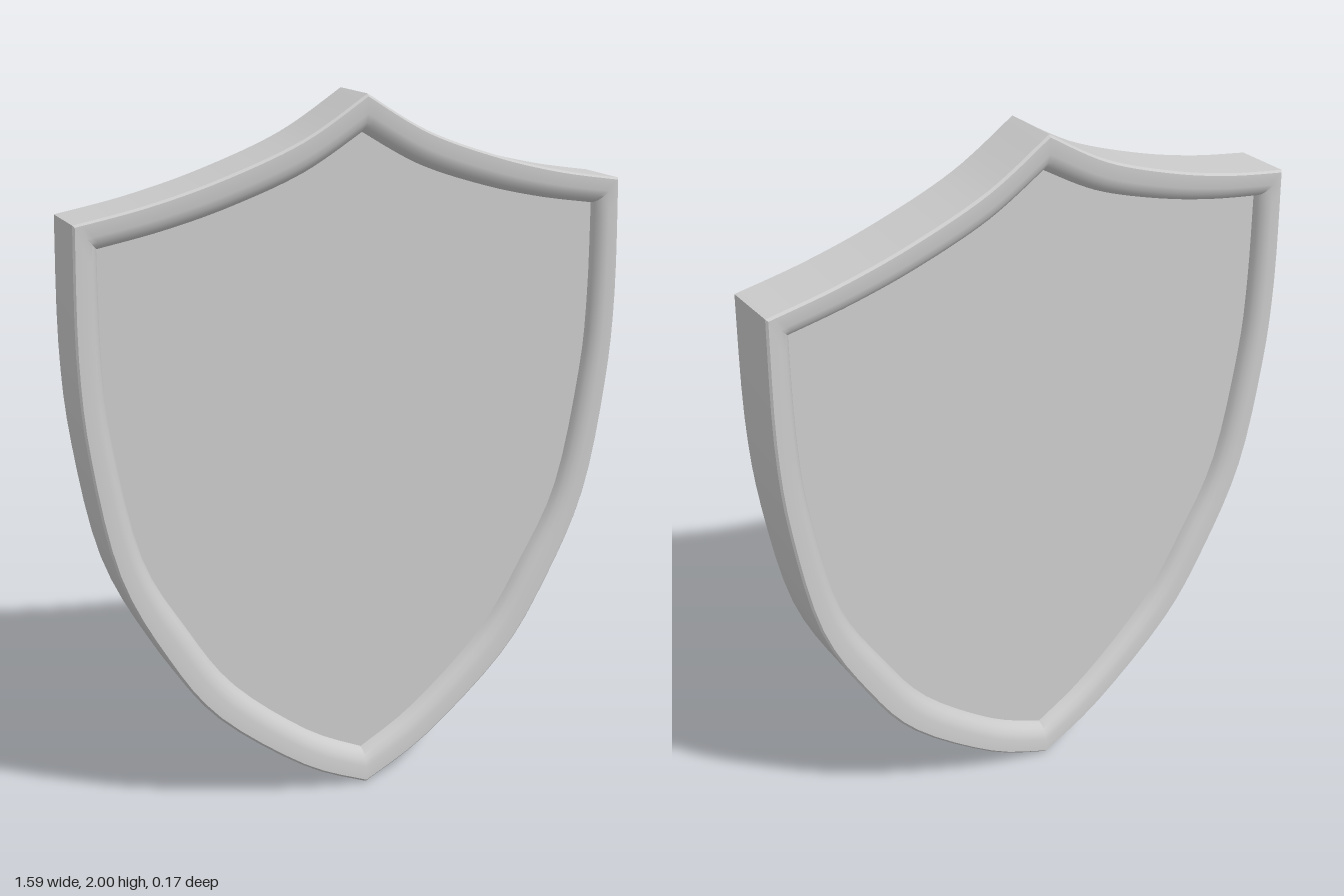
import * as THREE from 'three';
import { toCreasedNormals } from 'three/addons/utils/BufferGeometryUtils.js';

const HALF = 0.085;   // half thickness of the rim
const PANEL = 0.045;  // half thickness of the recessed panel
const STEPS = 28;     // samples per edge

const spline = (pts) =>
  new THREE.SplineCurve(pts.map(([x, y]) => new THREE.Vector2(x, y))).getPoints(STEPS);

// Closed outline, clockwise from the top point, mirrored from its right half
function outline(top, side) {
  const right = [...spline(top), ...spline(side).slice(1)];
  const left = right.slice(1, -1).reverse().map((p) => new THREE.Vector2(-p.x, p.y));
  return [...right, ...left];
}

const outer = outline(
  [[0, 2], [0.18, 1.895], [0.4, 1.815], [0.6, 1.763], [0.787, 1.73]],
  [[0.787, 1.73], [0.797, 1.4], [0.78, 1.13], [0.72, 0.8], [0.6, 0.535], [0.455, 0.32], [0.2, 0.105], [0, 0]]
);
const inner = outline(
  [[0, 1.9], [0.17, 1.805], [0.37, 1.735], [0.55, 1.69], [0.722, 1.66]],
  [[0.722, 1.66], [0.725, 1.4], [0.71, 1.17], [0.645, 0.83], [0.53, 0.6], [0.395, 0.395], [0.175, 0.2], [0, 0.1]]
);

// Rim section: [blend from outer to inner outline, z]
const face = [[0, HALF - 0.006], [0.07, HALF], [0.5, HALF], [0.7, HALF - 0.005],
  [0.86, HALF - 0.015], [0.95, HALF - 0.026], [1, PANEL]];
const section = [...face.map(([t, z]) => [t, -z]).reverse(), ...face];

function rimGeometry() {
  const pos = [], index = [], n = outer.length, m = section.length;
  for (let i = 0; i < n; i++) {
    for (const [t, z] of section) {
      const p = outer[i].clone().lerp(inner[i], t);
      pos.push(p.x, p.y, z);
    }
  }
  for (let i = 0; i < n; i++) {
    for (let j = 0; j < m - 1; j++) {
      const a = i * m + j, b = ((i + 1) % n) * m + j;
      index.push(a, a + 1, b, a + 1, b + 1, b);
    }
  }
  const geo = new THREE.BufferGeometry();
  geo.setAttribute('position', new THREE.Float32BufferAttribute(pos, 3));
  geo.setIndex(index);
  return toCreasedNormals(geo, 0.6);
}

export function createModel() {
  const group = new THREE.Group();
  group.name = 'shield';
  const material = new THREE.MeshStandardMaterial({ color: 0xcccccc });

  // Raised border, the same on both faces
  const rim = new THREE.Mesh(rimGeometry(), material);
  rim.name = 'rim';
  group.add(rim);

  // Flat recessed panels, front and back
  const panelGeo = new THREE.ShapeGeometry(new THREE.Shape(inner));
  for (const [name, z, turn] of [['frontPanel', PANEL, 0], ['backPanel', -PANEL, Math.PI]]) {
    const panel = new THREE.Mesh(panelGeo, material);
    panel.name = name;
    panel.position.z = z;
    panel.rotation.y = turn;
    group.add(panel);
  }
  return group;
}
